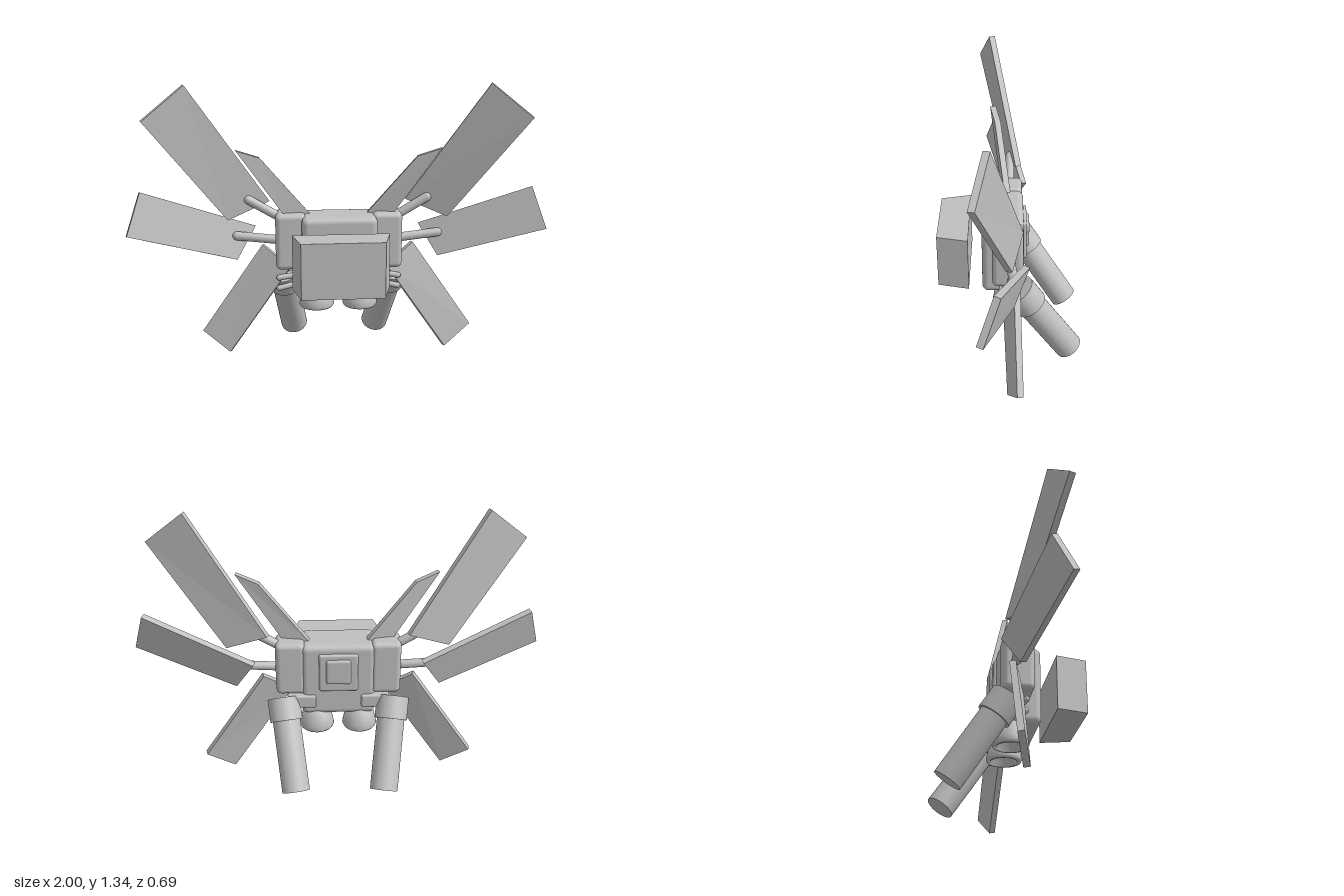
import * as THREE from 'three';
import { RoundedBoxGeometry } from 'three/addons/geometries/RoundedBoxGeometry.js';

export function createModel() {
  const model = new THREE.Group();
  model.name = 'wingedBackpack';
  const grey = new THREE.MeshStandardMaterial({ color: 0xc0c0c0 });
  grey.name = 'grey';

  const add = (name, geometry, x = 0, y = 0, z = 0) => {
    const mesh = new THREE.Mesh(geometry, grey);
    mesh.name = name;
    mesh.position.set(x, y, z);
    model.add(mesh);
    return mesh;
  };
  const block = (name, w, h, d, r, x, y, z) =>
    add(name, new RoundedBoxGeometry(w, h, d, 3, r), x, y, z);

  // Lofts two matching loops (counter-clockwise seen from the front) into a closed solid
  const solid = (front, back) => {
    const pos = [];
    const tri = (...p) => p.forEach((v) => pos.push(v.x, v.y, v.z));
    const n = front.length;
    for (let i = 0; i < n; i++) {
      const j = (i + 1) % n;
      if (i > 0 && j > 0) {
        tri(front[0], front[i], front[j]);
        tri(back[0], back[j], back[i]);
      }
      tri(front[i], back[i], back[j]);
      tri(front[i], back[j], front[j]);
    }
    const g = new THREE.BufferGeometry();
    g.setAttribute('position', new THREE.Float32BufferAttribute(pos, 3));
    g.computeVertexNormals();
    return g;
  };

  // Flat plate from its front corners, thickened backwards along its normal
  const plate = (name, corners, thickness, side) => {
    const front = corners.map(([x, y, z]) => new THREE.Vector3(x * side, y, z));
    if (side < 0) front.reverse();
    const a = front[2].clone().sub(front[0]);
    const b = front[3].clone().sub(front[1]);
    const step = a.cross(b).normalize().multiplyScalar(-thickness);
    add(name, solid(front, front.map((p) => p.clone().add(step))));
  };

  // Places a y-axis geometry midway between two points
  const between = (name, a, b, make) => {
    const dir = b.clone().sub(a);
    const mesh = add(name, make(dir.length()));
    mesh.position.copy(a).lerp(b, 0.5);
    mesh.quaternion.setFromUnitVectors(new THREE.Vector3(0, 1, 0), dir.normalize());
  };

  // Central pack and layered back panel
  block('body', 0.36, 0.38, 0.2, 0.03, 0, 0.53, 0.035);
  block('backPanel', 0.19, 0.2, 0.04, 0.012, 0, 0.58, -0.06);
  block('backPanelCap', 0.12, 0.13, 0.04, 0.012, 0, 0.59, -0.073);

  // Detached tapered block in front
  const rect = (w, z) => [[-w, 0.395], [w, 0.395], [w, 0.66], [-w, 0.66]]
    .map(([x, y]) => new THREE.Vector3(x, y, z));
  add('frontBlock', solid(rect(0.192, 0.345), rect(0.228, 0.197)));

  const wings = {
    upperWing: [[0.33, 0.77, -0.03], [0.53, 0.69, 0.02], [0.89, 1.185, 0.16], [0.7, 1.34, 0.105]],
    middleWing: [[0.4, 0.64, -0.06], [0.49, 0.49, 0.01], [0.99, 0.65, 0.135], [0.93, 0.845, 0.065]],
    lowerWing: [[0.235, 0.455, 0.04], [0.54, 0.01, 0.015], [0.675, 0.11, -0.03], [0.37, 0.555, -0.015]],
    shoulderFin: [[0.13, 0.71, 0.025], [0.25, 0.7, 0.045], [0.48, 1.04, 0.1], [0.37, 1.0, 0.075]],
  };
  // Struts: start, end, radius
  const struts = [
    [[0.27, 0.69, 0.0], [0.43, 0.785, 0.0], 0.022],
    [[0.27, 0.582, 0.0], [0.49, 0.603, -0.015], 0.022],
    [[0.16, 0.42, 0.03], [0.29, 0.405, 0.045], 0.014],
    [[0.16, 0.375, 0.02], [0.29, 0.35, 0.04], 0.014],
  ];
  // Hollow flared nozzle profile
  const nozzle = [[0, 0.09], [0.045, 0.09], [0.065, 0], [0.08, 0], [0.086, 0.012],
    [0.082, 0.035], [0.062, 0.12], [0, 0.12]].map(([x, y]) => new THREE.Vector2(x, y));

  for (const side of [1, -1]) {
    const tag = side > 0 ? 'left' : 'right';
    const at = (x, y, z) => new THREE.Vector3(x * side, y, z);

    block(tag + 'SideBlock', 0.145, 0.275, 0.145, 0.025, side * 0.232, 0.59, 0.012);
    for (const [name, corners] of Object.entries(wings)) {
      plate(tag + name[0].toUpperCase() + name.slice(1), corners, 0.03, side);
    }
    for (const [a, b, r] of struts) {
      between(tag + 'Strut', at(...a), at(...b), (l) => new THREE.CapsuleGeometry(r, l, 6, 16));
    }

    // Thruster under the pack
    add(tag + 'Nozzle', new THREE.LatheGeometry(nozzle, 32), side * 0.107, 0.243, 0);

    // Long rear tube with collar and bracket
    const foot = at(0.215, 0.04, -0.29);
    const head = at(0.268, 0.4, -0.05);
    between(tag + 'RearTube', foot, head, (l) => new THREE.CylinderGeometry(0.068, 0.068, l, 32));
    between(tag + 'TubeCollar', foot.clone().lerp(head, 0.8), foot.clone().lerp(head, 1.06),
      (l) => new THREE.CylinderGeometry(0.08, 0.08, l, 32));
    block(tag + 'TubeBracket', 0.14, 0.07, 0.06, 0.012, side * 0.18, 0.42, -0.05);
  }
  return model;
}
